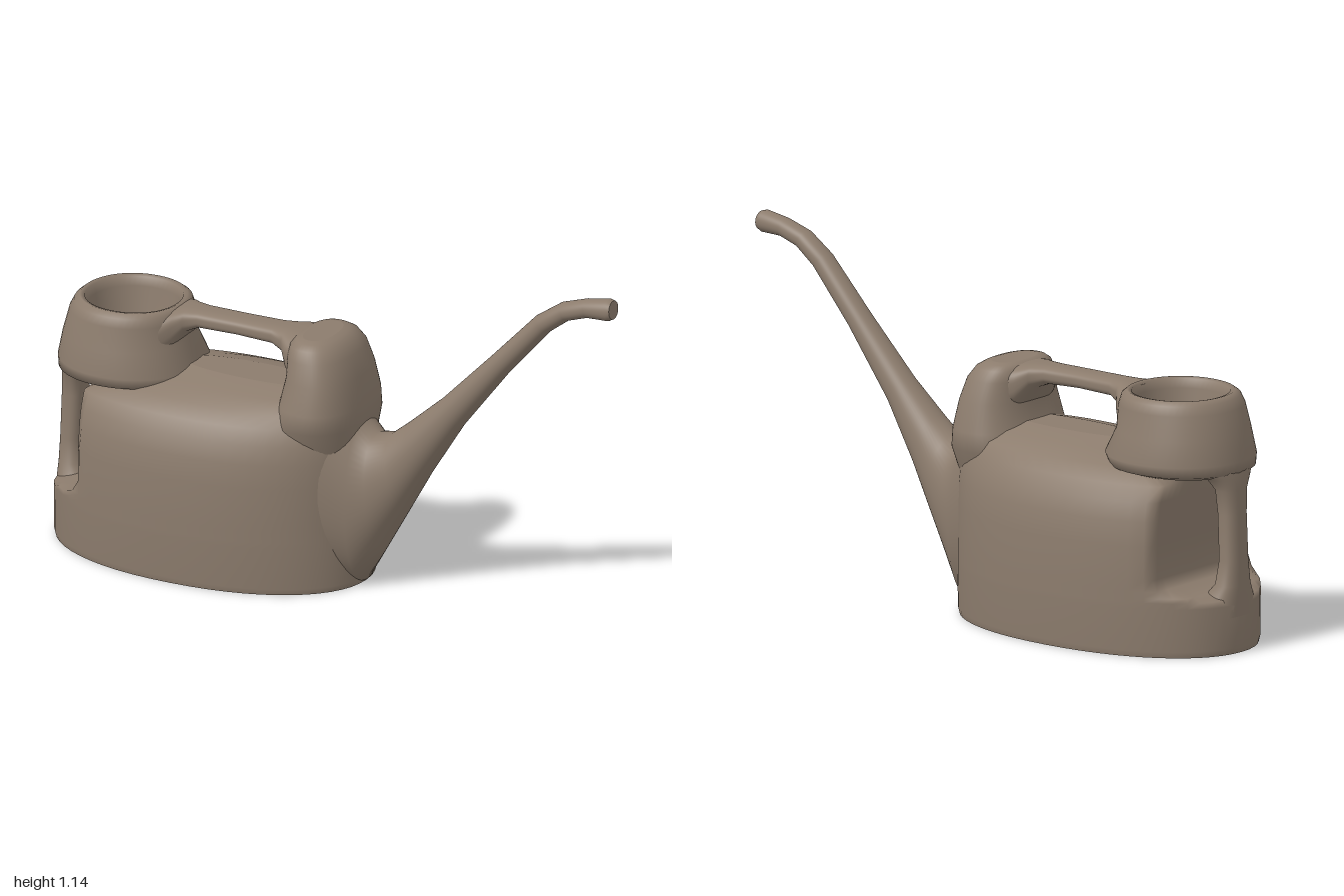
import * as THREE from 'three';

const SEG = 56;

// Skin a list of closed rings (arrays of Vector3), with a flat cap at both ends.
function loft(rings) {
  const pos = [], idx = [], n = rings[0].length;
  const push = (p) => pos.push(p.x, p.y, p.z) / 3 - 1;
  rings.forEach((r) => r.forEach(push));
  for (let i = 0; i < rings.length - 1; i++) {
    for (let j = 0; j < n; j++) {
      const k = (j + 1) % n;
      const a = i * n + j, b = i * n + k, c = a + n, d = b + n;
      idx.push(a, c, b, b, c, d);
    }
  }
  [rings[0], rings[rings.length - 1]].forEach((ring, end) => {
    const centre = new THREE.Vector3();
    ring.forEach((p) => centre.addScaledVector(p, 1 / n));
    const c = push(centre);
    const first = c + 1;
    ring.forEach(push);
    for (let j = 0; j < n; j++) {
      const a = first + j, b = first + (j + 1) % n;
      if (end) idx.push(c, b, a);
      else idx.push(c, a, b);
    }
  });
  const g = new THREE.BufferGeometry();
  g.setAttribute('position', new THREE.Float32BufferAttribute(pos, 3));
  g.setIndex(idx);
  g.computeVertexNormals();
  return g;
}

// Superellipse ring around c spanned by half-axes u and v.
function ring(c, u, v, power = 2) {
  const f = (t) => Math.sign(t) * Math.abs(t) ** (2 / power);
  return Array.from({ length: SEG }, (_, j) => {
    const a = (j / SEG) * Math.PI * 2;
    return c.clone().addScaledVector(u, f(Math.cos(a))).addScaledVector(v, f(Math.sin(a)));
  });
}

// Upright loft; each level is [y, back x, front x, half width, optional x limit at the back].
function upright(levels, power) {
  return loft(levels.map(([y, x0, x1, w, limit = -2]) => {
    const r = ring(new THREE.Vector3((x0 + x1) / 2, y, 0),
      new THREE.Vector3((x1 - x0) / 2, 0, 0), new THREE.Vector3(0, 0, w), power);
    r.forEach((p) => { p.x = Math.max(p.x, limit); });
    return r;
  }));
}

// Sideways loft; each station is [lower x, lower y, upper x, upper y, half width, z].
function sideways(stations, power) {
  return loft(stations.map(([lx, ly, ux, uy, w, z]) => ring(
    new THREE.Vector3((lx + ux) / 2, (ly + uy) / 2, z),
    new THREE.Vector3((ux - lx) / 2, (uy - ly) / 2, 0),
    new THREE.Vector3(0, 0, -w), power)));
}

export function createModel() {
  const group = new THREE.Group();
  const plastic = new THREE.MeshStandardMaterial({ color: 0x8c7c6d });
  plastic.name = 'taupe plastic';
  const add = (name, geometry) => {
    const mesh = new THREE.Mesh(geometry, plastic);
    mesh.name = name;
    group.add(mesh);
  };

  // Oval tank, cut back behind the rear handle, with sloping shoulders
  add('tank', upright([
    [0, -0.995, 0.095, 0.32],
    [0.02, -1, 0.1, 0.325],
    [0.16, -1, 0.1, 0.33],
    [0.18, -1, 0.1, 0.33, -0.98],
    [0.195, -1, 0.1, 0.33, -0.92],
    [0.215, -1, 0.1, 0.33, -0.84],
    [0.25, -1, 0.1, 0.33, -0.82],
    [0.36, -1, 0.1, 0.328, -0.82],
    [0.44, -0.995, 0.1, 0.318, -0.82],
    [0.5, -0.99, 0.1, 0.3, -0.82],
    [0.55, -0.985, 0.1, 0.27, -0.82],
    [0.59, -0.82, 0.09, 0.225],
    [0.62, -0.63, 0.04, 0.155],
    [0.64, -0.56, -0.05, 0.07],
  ], 2.15));

  // Filler neck: outer wall, rounded rim and inner well
  add('fillerNeck', upright([
    [0.57, -0.95, -0.55, 0.18],
    [0.585, -0.985, -0.52, 0.225],
    [0.62, -0.985, -0.505, 0.235],
    [0.7, -0.97, -0.545, 0.212],
    [0.78, -0.948, -0.55, 0.2],
    [0.81, -0.932, -0.56, 0.19],
    [0.824, -0.915, -0.575, 0.17],
    [0.82, -0.9, -0.588, 0.153],
    [0.79, -0.892, -0.595, 0.146],
    [0.7, -0.875, -0.605, 0.135],
    [0.605, -0.85, -0.62, 0.115],
  ], 2.1));

  // Front hump carrying the top grip
  add('frontHump', upright([
    [0.42, -0.22, 0.09, 0.16],
    [0.55, -0.2, 0.1, 0.22],
    [0.61, -0.17, 0.095, 0.212],
    [0.7, -0.15, 0.078, 0.188],
    [0.77, -0.15, 0.055, 0.168],
    [0.805, -0.145, 0.03, 0.145],
    [0.82, -0.13, 0.005, 0.12],
    [0.825, -0.11, -0.015, 0.095],
  ], 2.4));

  // Top grip, flaring into the neck and the hump
  add('topGrip', sideways([
    [-0.59, 0.66, -0.59, 0.815, 0.13, 0],
    [-0.56, 0.7, -0.56, 0.822, 0.1, 0],
    [-0.535, 0.745, -0.535, 0.823, 0.07, 0],
    [-0.49, 0.765, -0.49, 0.823, 0.055, 0.003],
    [-0.35, 0.768, -0.35, 0.823, 0.053, 0.005],
    [-0.22, 0.763, -0.22, 0.823, 0.056, 0.004],
    [-0.175, 0.745, -0.175, 0.823, 0.075, 0.002],
    [-0.145, 0.69, -0.145, 0.822, 0.11, 0],
    [-0.1, 0.65, -0.1, 0.82, 0.13, 0],
  ], 2.8));

  // Rear handle post between the foot and the filler neck
  add('rearHandle', upright([
    [0.12, -1, -0.82, 0.12],
    [0.18, -1, -0.88, 0.09],
    [0.22, -1, -0.915, 0.065],
    [0.3, -0.998, -0.925, 0.052],
    [0.45, -0.993, -0.918, 0.05],
    [0.53, -0.99, -0.912, 0.058],
    [0.57, -0.988, -0.89, 0.085],
    [0.61, -0.98, -0.85, 0.12],
  ], 2.5));

  // Tapering spout with a bent tip
  add('spout', sideways([
    [0, 0.004, 0.02, 0.64, 0.19, 0],
    [0.097, 0.004, 0.09, 0.56, 0.15, 0.003],
    [0.17, 0.13, 0.135, 0.515, 0.122, 0.006],
    [0.25, 0.27, 0.195, 0.527, 0.1, 0.009],
    [0.33, 0.41, 0.26, 0.58, 0.08, 0.012],
    [0.45, 0.6, 0.38, 0.685, 0.056, 0.016],
    [0.62, 0.82, 0.56, 0.868, 0.043, 0.02],
    [0.77, 0.99, 0.72, 1.035, 0.039, 0.025],
    [0.84, 1.043, 0.81, 1.097, 0.037, 0.027],
    [0.91, 1.066, 0.9, 1.126, 0.035, 0.027],
    [0.985, 1.068, 0.98, 1.14, 0.036, 0.026],
    [1, 1.076, 0.995, 1.136, 0.032, 0.026],
  ], 2.1));

  return group;
}
